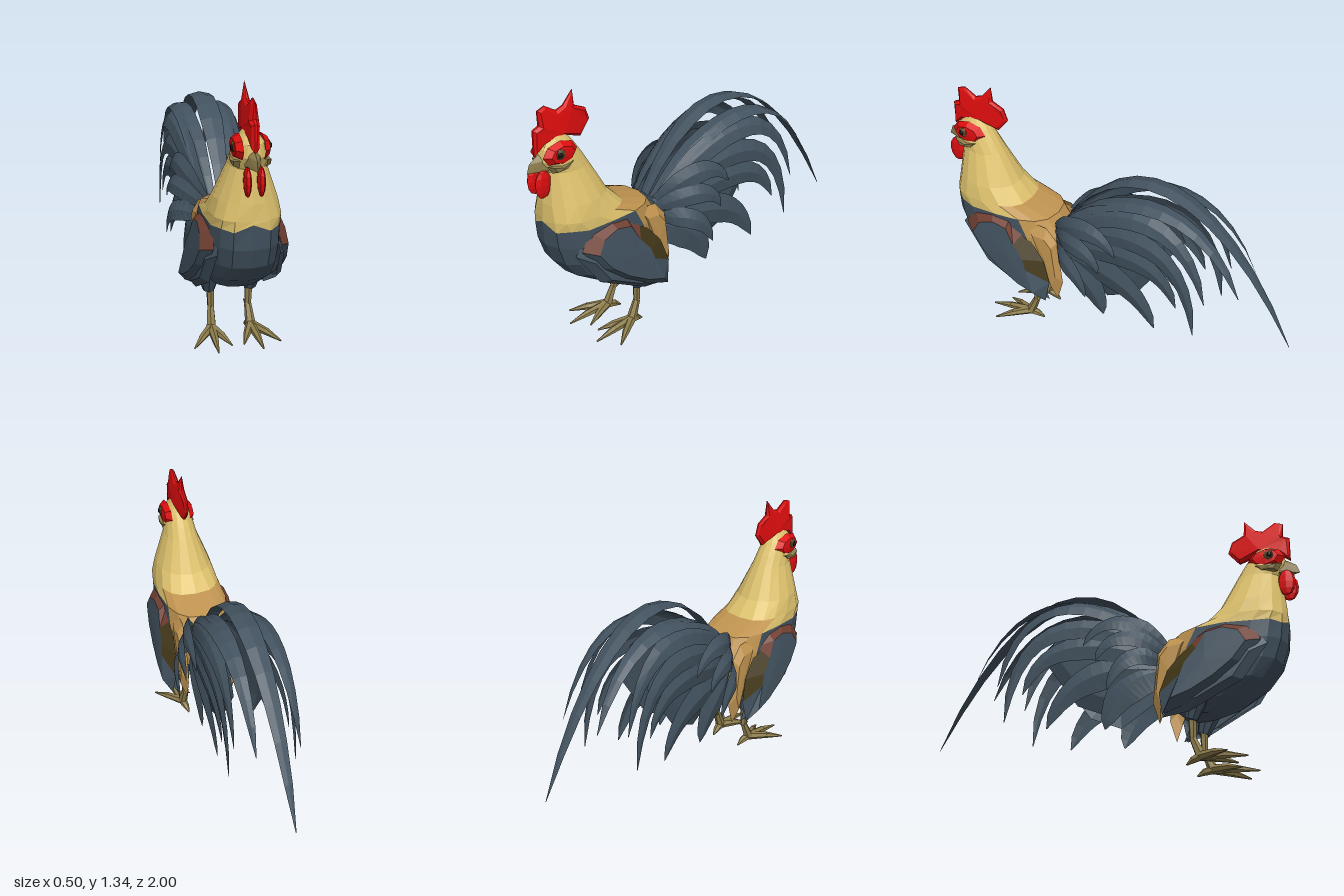
import * as THREE from 'three';
import { ConvexGeometry } from 'three/addons/geometries/ConvexGeometry.js';

const V = (x, y, z) => new THREE.Vector3(x, y, z);
const mat = (name, color) => new THREE.MeshStandardMaterial({ name, color, flatShading: true, side: THREE.DoubleSide });

// Collects triangles into one geometry group per material
class Faces {
  constructor() { this.sets = new Map(); }
  tri(m, a, b, c) {
    if (!this.sets.has(m)) this.sets.set(m, []);
    this.sets.get(m).push(a, b, c);
  }
  quad(m, a, b, c, d) { this.tri(m, a, b, c); this.tri(m, a, c, d); }
  mesh(name) {
    const geo = new THREE.BufferGeometry(), all = [];
    [...this.sets.values()].forEach((pts, i) => {
      geo.addGroup(all.length, pts.length, i);
      all.push(...pts);
    });
    geo.setFromPoints(all);
    geo.computeVertexNormals();
    const mesh = new THREE.Mesh(geo, [...this.sets.keys()]);
    mesh.name = name;
    return mesh;
  }
}

export function createModel() {
  const gold = mat('neck gold', 0xdcc06c), slate = mat('slate feathers', 0x42525f);
  const tan = mat('saddle tan', 0xbf9350), brown = mat('shoulder brown', 0x713f32);
  const olive = mat('wing olive', 0x433819), red = mat('comb red', 0xde0d0e);
  const horn = mat('leg horn', 0x8d7d4c), iris = mat('eye brown', 0x5a4a28), black = mat('pupil black', 0x14120f);
  const model = new THREE.Group();
  model.name = 'rooster';
  const add = (name, geo, m) => {
    const mesh = new THREE.Mesh(geo, m);
    mesh.name = name;
    model.add(mesh);
    return mesh;
  };

  // Body, neck and head: rings of [y, front z, back z, half width]
  const rings = [
    [0.28, 0.56, 0.38, 0.06], [0.33, 0.68, 0.33, 0.125], [0.41, 0.81, 0.28, 0.165], [0.5, 0.885, 0.26, 0.175],
    [0.6, 0.92, 0.28, 0.18], [0.695, 0.928, 0.34, 0.176], [0.74, 0.926, 0.5, 0.168], [0.82, 0.922, 0.575, 0.15],
    [0.98, 0.9, 0.665, 0.09], [1.04, 0.935, 0.7, 0.08], [1.1, 0.925, 0.74, 0.066], [1.165, 0.87, 0.79, 0.02],
  ];
  const sides = 16;
  const bodyPts = rings.map(([y, f, b, w], i) => Array.from({ length: sides }, (_, j) => {
    const a = (j / sides) * Math.PI * 2, e = y < 0.78 ? 0.75 : 0.95;
    const sx = Math.sign(Math.sin(a)) * Math.abs(Math.sin(a)) ** e;
    const cz = Math.sign(Math.cos(a)) * Math.abs(Math.cos(a)) ** e;
    const peak = i === 5 && cz > 0 ? 0.03 * (j === 0) - 0.008 * (j % 2) : 0;
    return V(w * sx, y + peak, (f + b) / 2 + (f - b) / 2 * cz);
  }));
  const body = new Faces(), top = rings.length - 1;
  for (let i = 0; i < top; i++) for (let j = 0; j < sides; j++) {
    const k = (j + 1) % sides, z = (bodyPts[i][j].z + bodyPts[i][k].z) / 2;
    const m = i > 5 ? gold : i === 5 ? (z > 0.55 ? gold : tan) : z < 0.46 && i > 1 ? tan : slate;
    body.quad(m, bodyPts[i][j], bodyPts[i][k], bodyPts[i + 1][k], bodyPts[i + 1][j]);
  }
  for (let j = 1; j < sides - 1; j++) {
    body.tri(slate, bodyPts[0][0], bodyPts[0][j + 1], bodyPts[0][j]);
    body.tri(gold, bodyPts[top][0], bodyPts[top][j], bodyPts[top][j + 1]);
  }
  model.add(body.mesh('body'));

  // Domed panel on one flank, from a [z, y] outline; lean spreads it outwards below, rim(i) colours its border
  function panel(name, s, outline, xEdge, xMid, m, { lean = 0, rim = () => m, scale = () => 0.68 } = {}) {
    const f = new Faces(), n = outline.length;
    const cz = outline.reduce((t, p) => t + p[0], 0) / n, cy = outline.reduce((t, p) => t + p[1], 0) / n;
    const at = (x, [z, y], k) => V(s * (x - lean * (y - cy) * k), cy + (y - cy) * k, cz + (z - cz) * k);
    const outer = outline.map(p => at(xEdge, p, 1));
    const inner = outline.map((p, i) => at(xMid, p, scale(i)));
    const mid = V(s * (xMid + 0.006), cy, cz);
    for (let i = 0; i < n; i++) {
      const k = (i + 1) % n, [a, b] = s > 0 ? [i, k] : [k, i];
      f.quad(rim(i), outer[a], inner[a], inner[b], outer[b]);
      f.tri(m, inner[a], mid, inner[b]);
    }
    model.add(f.mesh(name));
  }

  // Curved feather with a raised spine; n is its outward direction
  function feather(name, curve, half, n) {
    const f = new Faces(), steps = 12, rows = [];
    for (let i = 0; i <= steps; i++) {
      const t = i / steps, p = curve.getPoint(t);
      const side = curve.getTangent(t).cross(n).normalize();
      const w = half * Math.min(1, 0.5 + t * 2) * Math.min(1, ((1 - t) / 0.5) ** 0.6 + 0.03);
      rows.push([p.clone().addScaledVector(side, -w), p.clone().addScaledVector(n, w * 0.25), p.clone().addScaledVector(side, w)]);
    }
    for (let i = 0; i < steps; i++) for (let j = 0; j < 2; j++)
      f.quad(slate, rows[i][j], rows[i][j + 1], rows[i + 1][j + 1], rows[i + 1][j]);
    model.add(f.mesh(name));
  }

  // Tapered limb between two points
  function limb(name, a, b, ra, rb, m = horn, n = 6) {
    const mesh = add(name, new THREE.CylinderGeometry(rb, ra, a.distanceTo(b), n), m);
    mesh.position.copy(a).lerp(b, 0.5);
    mesh.quaternion.setFromUnitVectors(V(0, 1, 0), b.clone().sub(a).normalize());
  }

  const wing = [[0.82, 0.58], [0.77, 0.67], [0.66, 0.71], [0.55, 0.69], [0.46, 0.625], [0.34, 0.48],
    [0.3, 0.36], [0.32, 0.24], [0.45, 0.28], [0.6, 0.36], [0.73, 0.46]];
  const flight = [[0.85, 0.56], [0.8, 0.62], [0.4, 0.42], [0.31, 0.235], [0.45, 0.25], [0.72, 0.38]];
  const saddle = [[0.45, 0.68], [0.34, 0.67], [0.28, 0.6], [0.25, 0.34], [0.285, 0.22], [0.35, 0.4], [0.42, 0.6]];
  const fan = [[0.3, 0.68], [-0.1, 0.87], [-0.28, 0.84], [-0.36, 0.68], [-0.17, 0.4], [0, 0.32], [0.26, 0.48]];
  const gape = [[0.925, 1.03], [0.85, 1.02], [0.77, 1.035], [0.81, 0.995], [0.9, 0.99]];
  const face = Array.from({ length: 8 }, (_, i) => {
    const a = i * Math.PI / 4;
    return [0.842 + 0.098 * Math.cos(a), 1.074 + 0.062 * Math.sin(a)];
  });

  // Tail feathers: half width, upward tilt, x, base y, then z and y of two controls and the tip
  const tail = [
    [0.052, 1.3, 0.115, 0.66, 0.05, 1, -0.5, 1.2, -0.75, 0.6],
    [0.058, 0.6, 0.17, 0.64, 0.05, 0.93, -0.45, 1.15, -0.59, 0.54],
    [0.062, 0.2, 0.18, 0.61, 0, 0.82, -0.48, 1, -0.54, 0.33],
    [0.07, 0.1, 0.18, 0.58, 0, 0.68, -0.33, 0.8, -0.44, 0.47],
    [0.085, 0, 0.16, 0.52, 0.05, 0.56, -0.2, 0.55, -0.31, 0.27],
    [0.1, 0, 0.14, 0.52, 0.17, 0.5, 0.05, 0.42, 0, 0.23],
    [0.055, 0.38, 0.2, 0.66, 0.2, 0.79, 0, 0.85, -0.1, 0.68],
    [0.052, 0.3, 0.23, 0.62, 0.2, 0.7, 0.03, 0.72, -0.02, 0.57],
    [0.052, 0.1, 0.245, 0.56, 0.22, 0.6, 0.1, 0.56, 0.05, 0.4],
  ];
  const tailFeather = (name, s, [half, tilt, x, y, z1, y1, z2, y2, z3, y3]) => feather(name,
    new THREE.CubicBezierCurve3(V(s * Math.min(x * 0.6, 0.09), y, 0.3), V(s * x, y1, z1), V(s * x, y2, z2), V(s * x, y3, z3)),
    half, V(s * Math.cos(tilt), Math.sin(tilt), 0));

  for (const s of [1, -1]) {
    const P = (x, y, z) => V(s * x, y, z);
    panel('wing', s, wing, 0.172, 0.222, slate, {
      lean: 0.12, rim: i => (i < 4 ? brown : i < 6 ? olive : slate), scale: i => (i > 3 && i < 7 ? 0.5 : 0.76),
    });
    panel('flightFeathers', s, flight, 0.16, 0.198, slate, { lean: 0.08 });
    panel('saddleFeathers', s, saddle, 0.132, 0.165, tan);
    panel('tailFan', s, fan, 0.09, 0.12, slate);
    tail.forEach(t => tailFeather('tailFeather', s, t));

    // Face patch, mouth edge, eye and wattle
    panel('facePatch', s, face, 0.05, 0.08, red);
    panel('mouthEdge', s, gape, 0.062, 0.087, horn);
    const eye = add('eye', new THREE.SphereGeometry(0.03, 8, 6), iris);
    eye.position.set(s * 0.073, 1.08, 0.86);
    eye.scale.x = 0.7;
    const pupil = add('pupil', new THREE.SphereGeometry(0.015, 8, 6), black);
    pupil.position.set(s * 0.088, 1.08, 0.865);
    pupil.scale.x = 0.6;
    const wattle = add('wattle', new THREE.SphereGeometry(1, 7, 6), red);
    wattle.scale.set(0.018, 0.072, 0.048);
    wattle.position.set(s * 0.032, 0.933, 0.935);

    // Thigh, shank, spur and toes
    const foot = P(0.1, 0.04, 0.48);
    limb('thigh', P(0.11, 0.44, 0.5), P(0.105, 0.23, 0.435), 0.085, 0.032, slate, 8);
    limb('shank', P(0.098, 0.26, 0.44), P(0.095, 0.13, 0.44), 0.022, 0.017);
    limb('shank', P(0.095, 0.135, 0.44), foot, 0.018, 0.026);
    limb('spur', P(0.09, 0.13, 0.44), P(0.08, 0.145, 0.405), 0.01, 0.002);
    for (const [angle, length] of [[0.05, 0.235], [0.62, 0.2], [-0.4, 0.18], [3.3, 0.08]]) {
      const reach = (r, y) => P(0.1 + Math.sin(angle) * r, y, 0.48 + Math.cos(angle) * r);
      limb('toe', foot, reach(length * 0.55, 0.028), 0.024, 0.018);
      limb('toe', reach(length * 0.52, 0.029), reach(length, 0.008), 0.019, 0.004);
    }
  }

  // Long central sickle
  tailFeather('sickleFeather', 1, [0.058, Math.PI / 2, 0, 0.66, -0.05, 1.25, -0.55, 1.2, -1, 0.3]);

  // Beak
  add('beak', new ConvexGeometry([V(0, 1.075, 0.935), V(0, 0.995, 1), V(0, 1.04, 0.985), V(0, 0.985, 0.925),
    ...[1, -1].flatMap(s => [V(s * 0.03, 1.05, 0.92), V(s * 0.065, 1.015, 0.84), V(s * 0.045, 0.995, 0.88)])]), horn);

  // Comb, thinning towards its points and both ends
  const comb = new THREE.Shape([[0.955, 1.075], [0.955, 1.2], [0.92, 1.215], [0.925, 1.29], [0.885, 1.305], [0.82, 1.265],
    [0.78, 1.28], [0.725, 1.345], [0.72, 1.265], [0.655, 1.235], [0.633, 1.175], [0.69, 1.105], [0.8, 1.14],
    [0.9, 1.12]].map(([z, y]) => new THREE.Vector2(z, y)));
  const combGeo = new THREE.ExtrudeGeometry(comb, { depth: 0.02, bevelThickness: 0.022, bevelSize: 0.014, bevelOffset: -0.012, bevelSegments: 1 });
  combGeo.translate(0, 0, -0.01).rotateY(-Math.PI / 2);
  const pos = combGeo.attributes.position;
  for (let i = 0; i < pos.count; i++) {
    const rise = (1.36 - pos.getY(i)) / 0.2, ends = 1.25 - Math.abs(pos.getZ(i) - 0.82) / 0.19;
    pos.setX(i, pos.getX(i) * THREE.MathUtils.clamp(Math.min(rise, ends), 0.08, 1));
  }
  add('comb', combGeo, red);

  return model;
}
